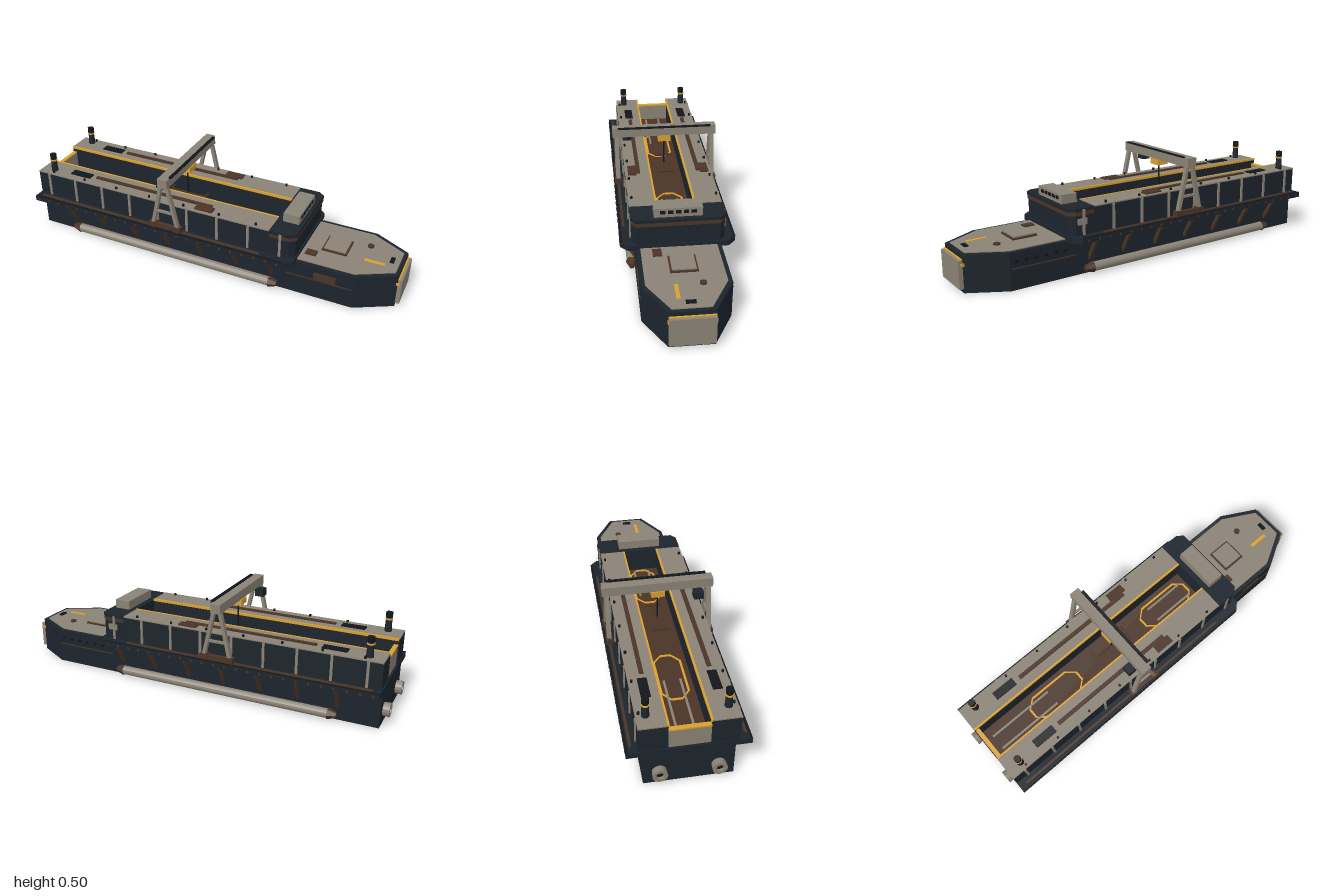
import * as THREE from 'three';

const mat = (color) => new THREE.MeshStandardMaterial({ color, flatShading: true });
const DARK = mat(0x1c242c), BLACK = mat(0x12161a), GREY = mat(0x8a8275), BROWN = mat(0x4a3426), GOLD = mat(0xd9a02f);

export function createModel() {
  const root = new THREE.Group();
  const add = (name, geo, m, x = 0, y = 0, z = 0) => {
    const mesh = new THREE.Mesh(geo, m);
    mesh.name = name;
    mesh.position.set(x, y, z);
    root.add(mesh);
    return mesh;
  };
  // box given by its extents on each axis
  const box = (name, m, x0, x1, y0, y1, z0, z1) =>
    add(name, new THREE.BoxGeometry(x1 - x0, y1 - y0, Math.abs(z1 - z0)), m, (x0 + x1) / 2, (y0 + y1) / 2, (z0 + z1) / 2);
  // horizontal slab from half an outline of [x, halfWidth], mirrored across z = 0
  const slab = (name, m, half, y0, y1) => {
    const pts = [...half, ...half.slice().reverse().map(([x, z]) => [x, -z])].map(([x, z]) => new THREE.Vector2(x, z));
    const geo = new THREE.ExtrudeGeometry(new THREE.Shape(pts), { depth: y1 - y0, bevelEnabled: false });
    geo.rotateX(-Math.PI / 2);
    return add(name, geo, m, 0, y0, 0);
  };
  // square bar between two points
  const bar = (name, m, a, b, w, d = w) => {
    const p = new THREE.Vector3(...a), q = new THREE.Vector3(...b);
    const mesh = add(name, new THREE.BoxGeometry(w, p.distanceTo(q), d), m);
    mesh.position.copy(p).add(q).multiplyScalar(0.5);
    mesh.quaternion.setFromUnitVectors(new THREE.Vector3(0, 1, 0), q.sub(p).normalize());
    return mesh;
  };
  const cyl = (name, m, r0, r1, h, n, x, y, z, axis = 'y') => {
    const geo = new THREE.CylinderGeometry(r0, r1, h, n);
    if (axis === 'x') geo.rotateZ(-Math.PI / 2);
    if (axis === 'z') geo.rotateX(Math.PI / 2);
    return add(name, geo, m, x, y, z);
  };

  // Hull with tapered bow, side deck and bow deck
  slab('hull', DARK, [[-0.967, 0.2], [0.8, 0.2], [0.98, 0.1]], 0, 0.18);
  slab('sideDeck', DARK, [[-0.972, 0.272], [0.465, 0.272], [0.505, 0.235]], 0.173, 0.2);
  slab('bowDeck', GREY, [[0.5, 0.18], [0.79, 0.18], [0.962, 0.085]], 0.18, 0.184);

  // Bow door
  box('bowDoor', GREY, 0.975, 1, 0.02, 0.155, -0.1, 0.1);
  box('bowDoorTrim', GOLD, 0.976, 0.988, 0.155, 0.16, -0.1, 0.1);
  for (const s of [-1, 1]) box('bowDoorLatch', GOLD, 0.972, 0.99, 0.125, 0.14, s * 0.097, s * 0.104);

  // Bow deck fittings
  box('hatchRim', BROWN, 0.59, 0.715, 0.184, 0.192, -0.063, 0.063);
  box('hatchLid', GREY, 0.598, 0.707, 0.184, 0.198, -0.055, 0.055);
  cyl('capstan', BROWN, 0.016, 0.016, 0.008, 10, 0.8, 0.188, -0.07);
  box('deckMarking', GOLD, 0.8, 0.9, 0.184, 0.187, 0.04, 0.058);
  box('deckLocker', BROWN, 0.525, 0.58, 0.184, 0.19, 0.085, 0.127);
  box('bowFairlead', BLACK, 0.915, 0.935, 0.184, 0.19, -0.022, 0.022);
  box('hullPanel', BROWN, 0.6, 0.71, 0.11, 0.145, 0.199, 0.205);
  for (let i = 0; i < 6; i++) cyl('porthole', BLACK, 0.009, 0.009, 0.008, 8, 0.52 + i * 0.05, 0.137, -0.202, 'z');

  // Dock floor with guide rails and octagonal frames
  box('dockFloor', BROWN, -0.96, 0.37, 0.18, 0.206, -0.1, 0.1);
  for (const [x0, x1] of [[-0.7, -0.39], [0.04, 0.355]]) {
    const octagon = (d) => {
      const c = 0.05;
      return [[x0 + d, -c + 0.025], [x0 + c, -0.068 + d], [x1 - c, -0.068 + d], [x1 - d, -c + 0.025],
        [x1 - d, c - 0.025], [x1 - c, 0.068 - d], [x0 + c, 0.068 - d], [x0 + d, c - 0.025]]
        .map(([x, z]) => new THREE.Vector2(x, z));
    };
    const shape = new THREE.Shape(octagon(0));
    shape.holes.push(new THREE.Path(octagon(0.01)));
    const geo = new THREE.ExtrudeGeometry(shape, { depth: 0.005, bevelEnabled: false }).rotateX(-Math.PI / 2);
    add('padFrame', geo, GOLD, 0, 0.206, 0);
  }
  for (const s of [-1, 1]) {
    box('cradleRail', GREY, -0.92, -0.57, 0.206, 0.214, s * 0.034, s * 0.044);
    box('cradleRail', GREY, 0.11, 0.34, 0.206, 0.214, s * 0.034, s * 0.044);
  }
  box('sternGate', GREY, -0.962, -0.945, 0.2, 0.295, -0.092, 0.092);
  box('sternGateTrim', GOLD, -0.964, -0.943, 0.295, 0.303, -0.092, 0.092);

  // Forward block and bridge
  slab('forwardBlock', DARK, [[0.37, 0.218], [0.47, 0.218], [0.498, 0.195]], 0.2, 0.33);
  slab('blockBand', BROWN, [[0.372, 0.219], [0.472, 0.219], [0.503, 0.195]], 0.295, 0.315);
  slab('blockCap', DARK, [[0.37, 0.221], [0.473, 0.221], [0.504, 0.196]], 0.315, 0.33);
  box('bridge', GREY, 0.4, 0.482, 0.33, 0.375, -0.113, 0.113);
  for (let i = -2; i <= 2; i++) box('bridgeWindow', BLACK, 0.48, 0.485, 0.348, 0.364, i * 0.036 - 0.012, i * 0.036 + 0.012);
  box('sidePanel', GREY, 0.41, 0.46, 0.25, 0.28, -0.217, -0.224);

  // Everything mirrored port and starboard
  for (const s of [-1, 1]) {
    // Wing wall
    box('wingWall', DARK, -0.967, 0.37, 0.2, 0.326, s * 0.092, s * 0.218);
    box('wingDeck', GREY, -0.967, 0.37, 0.326, 0.332, s * 0.094, s * 0.22);
    box('wingEdge', GOLD, -0.965, 0.37, 0.322, 0.334, s * 0.087, s * 0.096);
    for (let i = 0; i < 9; i++) {
      const x = -0.9 + i * 0.166;
      box('wallRib', GREY, x - 0.006, x + 0.006, 0.2, 0.325, s * 0.215, s * 0.225);
    }
    for (let i = 0; i < 7; i++) cyl('bollard', BLACK, 0.006, 0.006, 0.012, 8, -0.88 + i * 0.196, 0.337, s * 0.204);
    box('ventHatch', BLACK, -0.79, -0.67, 0.332, 0.337, s * 0.135, s * 0.178);
    box('deckPipe', BROWN, -0.64, 0.04, 0.332, 0.339, s * 0.143, s * 0.163);
    box('winchHouse', BROWN, -0.035, 0.06, 0.332, 0.339, s * 0.163, s * 0.205);

    // Funnel
    cyl('funnel', DARK, 0.014, 0.018, 0.1, 12, -0.893, 0.378, s * 0.177);
    cyl('funnelBand', GOLD, 0.019, 0.019, 0.007, 12, -0.893, 0.396, s * 0.177);
    cyl('funnelCap', BLACK, 0.017, 0.017, 0.025, 12, -0.893, 0.417, s * 0.177);

    // Crane track and edge studs
    box('craneTrack', BROWN, -0.935, 0.335, 0.2, 0.207, s * 0.243, s * 0.255);
    box('trackKerb', BLACK, -0.97, 0.46, 0.2, 0.203, s * 0.262, s * 0.27);
    for (let i = 0; i < 24; i++) box('edgeStud', BROWN, -0.95 + i * 0.06, -0.94 + i * 0.06, 0.181, 0.191, s * 0.271, s * 0.274);
    box('hullStripe', BROWN, 0.46, 0.79, 0.1, 0.105, s * 0.199, s * 0.203);

    // Braces under the side deck
    for (let i = 0; i < 7; i++) {
      const x = -0.77 + i * 0.193;
      bar('deckBrace', BROWN, [x, 0.172, s * 0.256], [x, 0.07, s * 0.198], 0.014, 0.018);
    }

    // Side float with tapered ends
    cyl('sideFloat', GREY, 0.023, 0.023, 1.11, 16, -0.175, 0.03, s * 0.216, 'x');
    cyl('floatEnd', BROWN, 0.015, 0.028, 0.042, 6, 0.4, 0.03, s * 0.216, 'x');
    cyl('floatEnd', BROWN, 0.028, 0.015, 0.042, 6, -0.75, 0.03, s * 0.216, 'x');
    box('floatMount', BROWN, -0.75, 0.4, 0.02, 0.04, s * 0.198, s * 0.21);

    // Stern thruster nozzle
    const profile = [[0.018, -0.016], [0.032, -0.016], [0.034, 0.016], [0.018, 0.016], [0.018, -0.016]].map((p) => new THREE.Vector2(...p));
    const nozzle = new THREE.LatheGeometry(profile, 16).rotateZ(Math.PI / 2);
    const ring = add('thrusterNozzle', nozzle, GREY, -0.983, 0.068, s * 0.13);
    ring.material = GREY.clone();
    ring.material.side = THREE.DoubleSide;
    cyl('thrusterCore', BLACK, 0.019, 0.019, 0.02, 12, -0.976, 0.068, s * 0.13, 'x');

    // Gantry leg
    for (const k of [-1, 1]) {
      const x = -0.175 + k * 0.068;
      bar('gantryLeg', GREY, [x, 0.225, s * 0.25], [-0.175 + k * 0.016, 0.455, s * 0.25], 0.017, 0.022);
      box('gantryFoot', BROWN, x - 0.02, x + 0.02, 0.205, 0.233, s * 0.234, s * 0.268);
    }
    box('gantryBogie', BROWN, -0.25, -0.1, 0.213, 0.228, s * 0.239, s * 0.263);
    box('gantryTie', GREY, -0.225, -0.125, 0.295, 0.307, s * 0.244, s * 0.256);
  }

  // Gantry beam, trolley, hoist and cab
  box('gantryBeam', GREY, -0.2, -0.148, 0.45, 0.497, -0.272, 0.272);
  box('gantryPowerRail', BLACK, -0.152, -0.137, 0.497, 0.503, -0.243, 0.243);
  box('trolley', GOLD, -0.205, -0.143, 0.42, 0.45, -0.033, 0.033);
  cyl('hoistCable', BLACK, 0.004, 0.004, 0.14, 6, -0.175, 0.35, 0);
  box('spreaderBeam', BROWN, -0.275, -0.075, 0.272, 0.282, -0.005, 0.005);
  for (const x of [-0.275, -0.075]) box('spreaderArm', BROWN, x - 0.004, x + 0.004, 0.272, 0.282, -0.042, 0.042);
  box('craneCab', DARK, -0.24, -0.195, 0.41, 0.448, 0.17, 0.218);

  return root;
}
